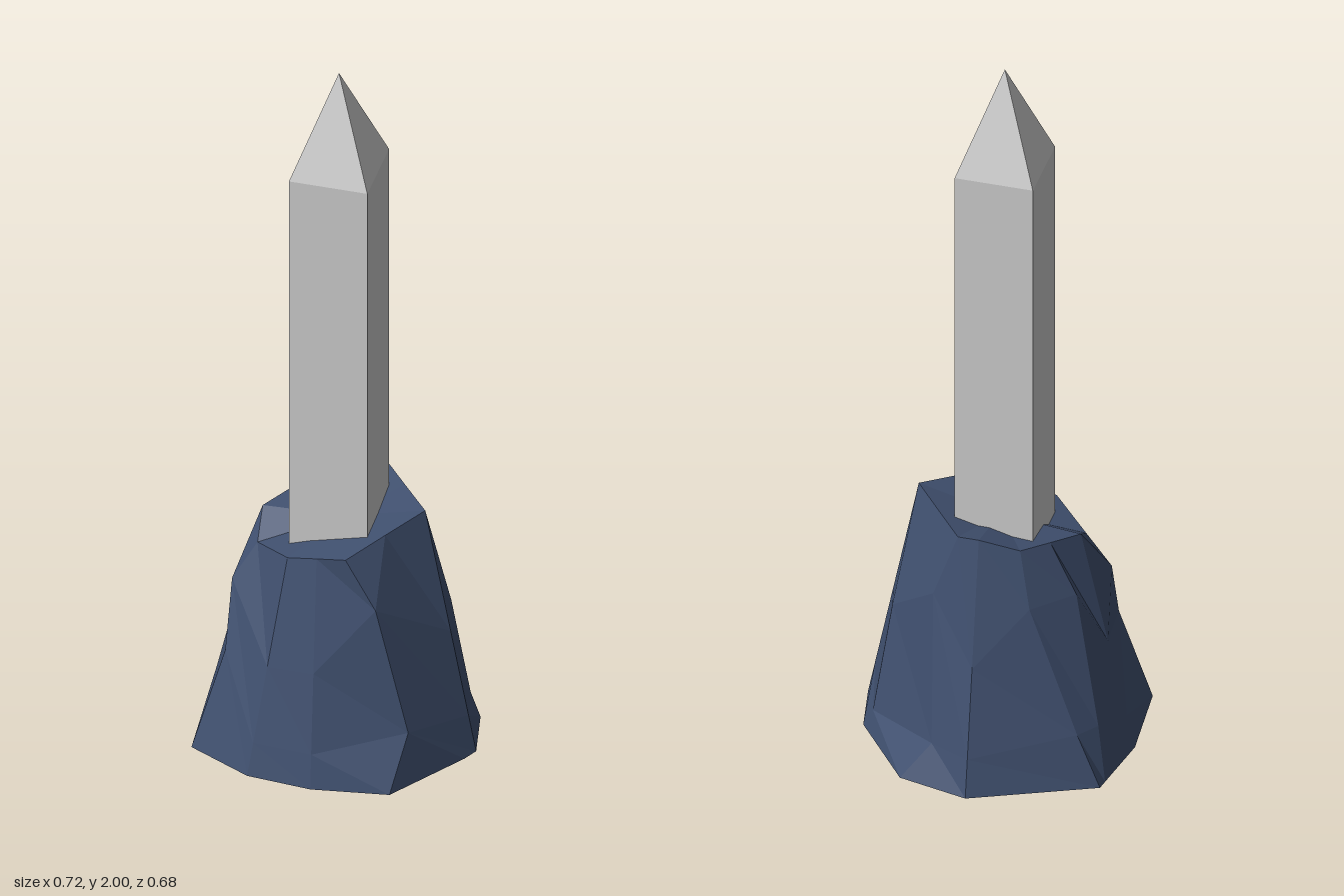
import * as THREE from 'three';

// Rock columns, each running from the ground up to the rim: [x, y, z]
const LEVELS = [0, 0.15, 0.5, 1];
const straight = (b, r) => LEVELS.map(t => b.map((v, i) => v + (r[i] - v) * t));

function rockColumns() {
  return [
    straight([0.36, 0, 0.06], [0.215, 0.69, 0.02]),
    [[0.34, 0, 0.1], [0.23, 0.15, 0.235], [0.14, 0.5, 0.22], [0.137, 0.665, 0.118]],
    [[0.2, 0, 0.305], [0.23, 0.15, 0.235], [0.14, 0.5, 0.22], [0.06, 0.64, 0.217]],
    straight([0, 0, 0.335], [-0.02, 0.62, 0.203]),
    straight([-0.17, 0, 0.32], [-0.1, 0.6, 0.19]),
    [[-0.34, 0, 0.235], [-0.265, 0.28, 0.185], [-0.265, 0.46, 0.12], [-0.205, 0.565, 0.095]],
    straight([-0.36, 0, 0], [-0.215, 0.62, 0.01]),
    [[-0.33, 0, -0.17], [-0.305, 0.15, -0.145], [-0.23, 0.5, -0.085], [-0.157, 0.635, -0.07]],
    [[-0.325, 0, -0.2], [-0.265, 0.15, -0.2], [-0.135, 0.5, -0.185], [-0.1, 0.65, -0.148]],
    straight([-0.01, 0, -0.34], [0, 0.685, -0.18]),
    [[0.175, 0, -0.295], [0.1, 0.1, -0.265], [0.12, 0.5, -0.18], [0.055, 0.685, -0.18]],
    [[0.33, 0, -0.09], [0.3, 0.06, -0.105], [0.26, 0.365, -0.065], [0.135, 0.687, -0.08]],
  ];
}

function rockGeometry() {
  const cols = rockColumns();
  const positions = [];
  const same = (p, q) => p.every((v, i) => v === q[i]);
  const tri = (a, b, c) => {
    if (!same(a, b) && !same(b, c) && !same(c, a)) positions.push(...a, ...b, ...c);
  };
  const top = [0, 0.635, 0.02], bottom = [0, 0, 0];
  cols.forEach((a, i) => {
    const b = cols[(i + 1) % cols.length];
    for (let k = 0; k < 3; k++) {
      tri(a[k], a[k + 1], b[k + 1]);
      tri(a[k], b[k + 1], b[k]);
    }
    tri(top, b[3], a[3]);
    tri(bottom, a[0], b[0]);
  });
  const g = new THREE.BufferGeometry();
  g.setAttribute('position', new THREE.Float32BufferAttribute(positions, 3));
  g.computeVertexNormals();
  return g;
}

export function createModel() {
  const model = new THREE.Group();
  model.name = 'obeliskOnRock';

  const add = (name, geometry, material, x = 0, y = 0, z = 0) => {
    const mesh = new THREE.Mesh(geometry, material);
    mesh.name = name;
    mesh.position.set(x, y, z);
    model.add(mesh);
  };

  const stone = new THREE.MeshStandardMaterial({ color: 0xcccccc, flatShading: true });
  const rock = new THREE.MeshStandardMaterial({ color: 0x40506f, flatShading: true });

  // Chipped rock base
  add('rockBase', rockGeometry(), rock);

  // Square shaft sunk into the rock, with a pyramid tip
  const width = 0.206, cx = -0.012, cz = 0.019;
  const foot = 0.3, shoulder = 1.715, peak = 2;
  const shaft = new THREE.BoxGeometry(width, shoulder - foot, width);
  add('shaft', shaft, stone, cx, (foot + shoulder) / 2, cz);

  const tip = new THREE.ConeGeometry(width / Math.SQRT2, peak - shoulder, 4, 1, true);
  tip.rotateY(Math.PI / 4);
  add('pyramidTip', tip, stone, cx, (shoulder + peak) / 2, cz);

  return model;
}
